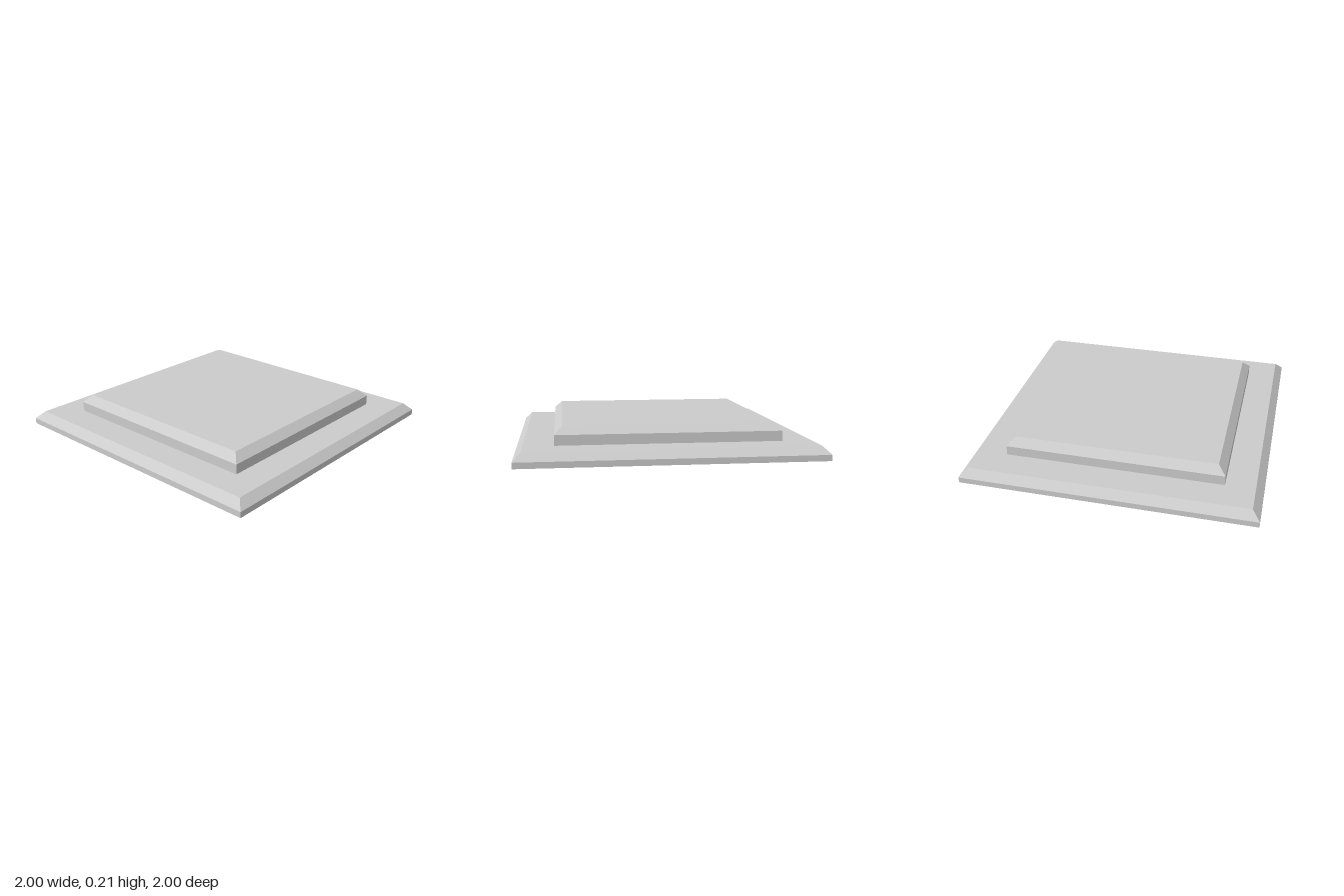
import * as THREE from 'three';

const BEVEL = 0.053;

// Square slab with a 45-degree bevel around its top edge
function bevelledSlab(name, half, bottom, top, material) {
  const profile = [
    [0, bottom],
    [half, bottom],
    [half, top - BEVEL],
    [half - BEVEL, top],
    [0, top],
  ].map(([r, y]) => new THREE.Vector2(r * Math.SQRT2, y));
  // Four-sided lathe turned so its sides face the axes
  const geometry = new THREE.LatheGeometry(profile, 4, Math.PI / 4).toNonIndexed();
  geometry.computeVertexNormals();
  const mesh = new THREE.Mesh(geometry, material);
  mesh.name = name;
  return mesh;
}

export function createModel() {
  const group = new THREE.Group();
  group.name = 'steppedPlinth';
  const material = new THREE.MeshStandardMaterial({ color: 0xcccccc, flatShading: true });

  group.add(bevelledSlab('lowerStep', 1, 0, 0.093, material));
  group.add(bevelledSlab('upperStep', 0.747, 0.093, 0.214, material));
  return group;
}
